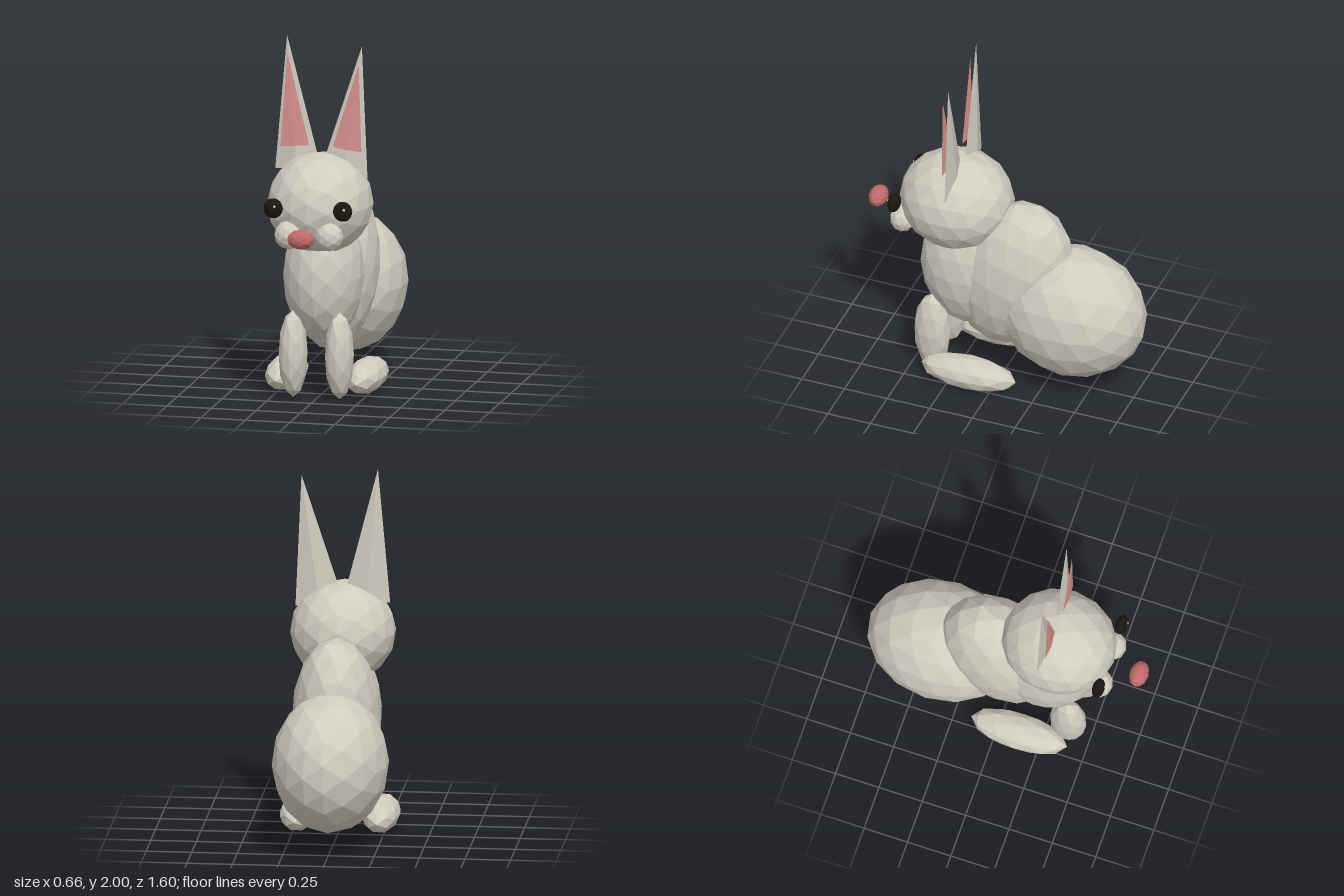
import * as THREE from 'three';

const flat = (color) => new THREE.MeshStandardMaterial({ color, flatShading: true });
const fur = flat(0xd0ccbf);
const pink = flat(0xd8928e);
const noseRed = flat(0xc06a6a);
const black = flat(0x1a1612);
const white = flat(0xffffff);

export function createModel() {
  const model = new THREE.Group();

  // Faceted ellipsoid: centre, radii, subdivision and tilt about x
  function blob(name, pos, radii, detail = 2, material = fur, tilt = 0) {
    const mesh = new THREE.Mesh(new THREE.IcosahedronGeometry(1, detail), material);
    mesh.name = name;
    mesh.position.set(...pos);
    mesh.scale.set(...radii);
    mesh.rotation.x = tilt;
    model.add(mesh);
    return mesh;
  }

  // Flattened four-sided cone from a base centre to a tip
  function spike(name, base, tip, halfWidth, halfDepth, material) {
    const a = new THREE.Vector3(...base);
    const b = new THREE.Vector3(...tip);
    const length = a.distanceTo(b);
    const geometry = new THREE.ConeGeometry(1, length, 4);
    geometry.translate(0, length / 2, 0);
    geometry.scale(halfWidth, 1, halfDepth);
    const mesh = new THREE.Mesh(geometry, material);
    mesh.name = name;
    mesh.position.copy(a);
    mesh.rotation.z = Math.atan2(a.x - b.x, b.y - a.y);
    mesh.rotation.x = Math.atan2(b.z - a.z, length);
    model.add(mesh);
  }

  // Body and head
  blob('rump', [0, 0.498, -0.39], [0.32, 0.384, 0.422]);
  blob('back', [0, 0.667, -0.05], [0.245, 0.47, 0.332], 2, fur, -0.29);
  blob('chest', [0, 0.665, 0.2], [0.22, 0.375, 0.288]);
  blob('head', [0, 1.078, 0.285], [0.29, 0.282, 0.32]);
  blob('nose', [0, 0.97, 0.745], [0.076, 0.056, 0.053], 1, noseRed);

  // Paired parts
  for (const [side, s] of [['left', 1], ['right', -1]]) {
    blob(side + 'FrontLeg', [s * 0.13, 0.25, 0.38], [0.08, 0.243, 0.104], 1);
    blob(side + 'HindFoot', [s * 0.226, 0.095, 0.13], [0.104, 0.092, 0.277], 1);
    blob(side + 'Cheek', [s * 0.115, 0.95, 0.557], [0.078, 0.08, 0.073], 1);
    blob(side + 'Eye', [s * 0.195, 1.1, 0.577], [0.054, 0.056, 0.034], 2, black);
    blob(side + 'EyeGlint', [s * 0.195 + 0.014, 1.115, 0.608], [0.008, 0.008, 0.005], 1, white);
  }

  // Ears, slightly uneven in height and lean
  spike('rightEar', [-0.135, 1.262, 0.245], [-0.195, 2.0, 0.25], 0.128, 0.03, fur);
  spike('leftEar', [0.127, 1.235, 0.258], [0.225, 1.955, 0.25], 0.133, 0.028, fur);
  spike('rightInnerEar', [-0.145, 1.39, 0.28], [-0.185, 1.9, 0.28], 0.081, 0.009, pink);
  spike('leftInnerEar', [0.15, 1.383, 0.285], [0.215, 1.86, 0.285], 0.081, 0.009, pink);

  return model;
}
